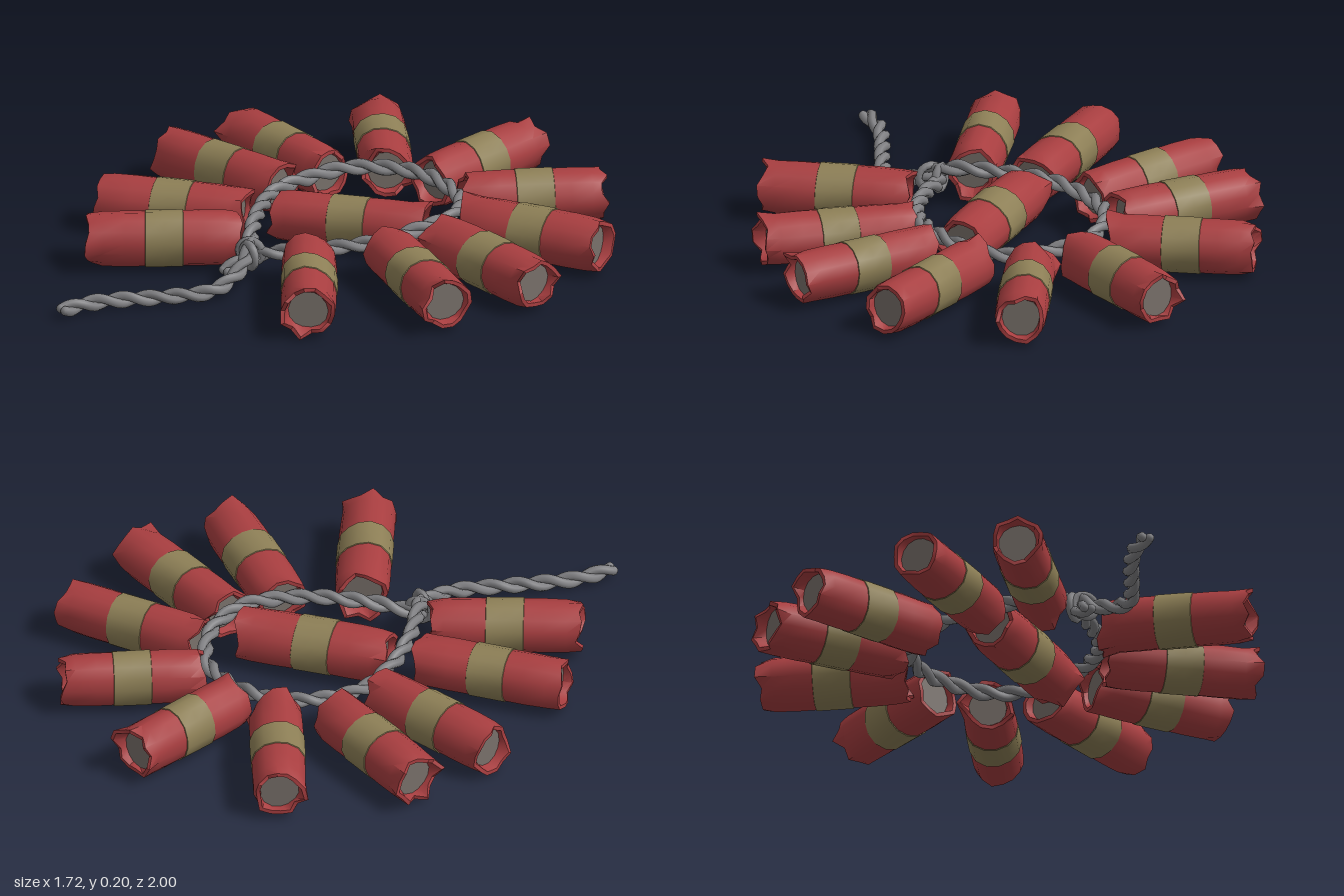
import * as THREE from 'three';
import { toCreasedNormals } from 'three/addons/utils/BufferGeometryUtils.js';

const material = (name, color, side = THREE.FrontSide) => {
  const m = new THREE.MeshStandardMaterial({ color, side });
  m.name = name;
  return m;
};

const SIDES = 14;
const RADIUS = 0.089;

// Repeatable noise from 0 to 1
const hash = (a, b, c) => {
  const v = Math.sin(a * 12.99 + b * 78.23 + c * 37.72) * 43758.55;
  return v - Math.floor(v);
};

// Gentle out-of-round dents shared by the paper and the band
const dent = (a, y, seed) =>
  1 + 0.03 * Math.sin(2 * a + seed * 1.7) + 0.025 * Math.sin(3 * a + y * 7 + seed * 2.3);

// Lathe whose rings are dented; rim rings are also torn and flared
function crumpledTube(profile, seed, tornRings = []) {
  const geo = new THREE.LatheGeometry(profile.map(([r, y]) => new THREE.Vector2(r, y)), SIDES);
  const pos = geo.attributes.position;
  for (let k = 0; k < pos.count; k++) {
    const i = Math.floor(k / profile.length) % SIDES;
    const j = k % profile.length;
    const [r, y] = profile[j];
    const a = (i / SIDES) * Math.PI * 2;
    let radius = r * dent(a, y, seed);
    let height = y;
    if (tornRings.includes(j)) {
      const end = Math.sign(y);
      const tear = hash(i, end, seed);
      height += end * (tear - 0.5) * 0.03;
      radius += (hash(i, end + 5, seed) - 0.55) * 0.014 + (tear > 0.88 ? 0.014 : 0);
    }
    pos.setXYZ(k, Math.sin(a) * radius, height, Math.cos(a) * radius);
  }
  return toCreasedNormals(geo, 0.7);
}

// Paper tube with a central band and recessed ends, lying between two points (x, z)
function makeCracker([x1, z1, x2, z2], seed, mats) {
  const g = new THREE.Group();
  g.name = 'cracker';
  const dir = new THREE.Vector3(x2 - x1, 0, z2 - z1);
  const h = dir.length() / 2;
  const R = RADIUS;
  const add = (name, geo, mat) => {
    const mesh = new THREE.Mesh(geo, mat);
    mesh.name = name;
    g.add(mesh);
    return mesh;
  };

  const half = [[R, 0.06], [R * 1.01, h * 0.5], [R * 0.99, h * 0.8], [R * 0.93, h - 0.005], [R * 0.78, h - 0.005], [R * 0.72, h - 0.035]];
  const profile = [...half.map(([r, y]) => [r, -y]).reverse(), ...half];
  add('paperTube', crumpledTube(profile, seed, [1, 2, 9, 10]), mats.paper);

  const b = R * 1.035;
  add('band', crumpledTube([[R * 0.98, -0.064], [b, -0.062], [b, 0], [b, 0.062], [R * 0.98, 0.064]], seed), mats.band);

  for (const s of [-1, 1]) {
    const cap = add('endCap', new THREE.CircleGeometry(R * 0.79, SIDES), mats.cap);
    cap.position.y = s * (h - 0.033);
    cap.rotation.x = -s * Math.PI / 2;
  }

  g.position.set((x1 + x2) / 2, 0.104, (z1 + z2) / 2);
  g.quaternion.setFromUnitVectors(new THREE.Vector3(0, 1, 0), dir.normalize());
  return g;
}

// One strand winding around a centre path
class Strand extends THREE.Curve {
  constructor(path, phase, turns, offset) {
    super();
    Object.assign(this, { path, phase, turns, offset });
  }
  getPoint(t, target = new THREE.Vector3()) {
    const p = this.path.getPointAt(t);
    const tan = this.path.getTangentAt(t);
    const side = new THREE.Vector3(0, 1, 0).cross(tan).normalize();
    const up = tan.clone().cross(side);
    const a = this.phase + t * this.turns * Math.PI * 2;
    return target.copy(p)
      .addScaledVector(side, Math.cos(a) * this.offset)
      .addScaledVector(up, Math.sin(a) * this.offset);
  }
}

export function createModel() {
  const model = new THREE.Group();
  model.name = 'crackerString';
  const mats = {
    paper: material('redPaper', 0xa83e40, THREE.DoubleSide),
    band: material('oliveBand', 0x8d7f56, THREE.DoubleSide),
    cap: material('greyPowder', 0x78706a),
    rope: material('greyRope', 0x808083),
  };

  // Inner end to outer end of each cracker: x, z, x, z
  const crackers = [
    [-0.03, -0.52, -0.02, -0.99],
    [0.15, -0.49, 0.46, -0.85],
    [0.28, -0.36, 0.77, -0.51],
    [0.34, -0.18, 0.84, -0.12],
    [0.27, 0.0, 0.74, 0.21],
    [0.11, 0.21, 0.45, 0.58],
    [0.24, -0.22, -0.22, 0.02],
    [-0.28, 0.08, -0.74, 0.32],
    [-0.16, 0.25, -0.53, 0.6],
    [-0.34, -0.15, -0.85, -0.13],
    [-0.31, -0.35, -0.8, -0.43],
    [-0.18, -0.48, -0.54, -0.82],
  ];
  crackers.forEach((c, i) => model.add(makeCracker(c, i + 1, mats)));

  // Rope: short stub, loop around the inner ends, crossing, then the loose tail
  const path = new THREE.CatmullRomCurve3([
    [-0.09, 0.05, 0.4], [-0.07, 0.08, 0.31], [0.08, 0.11, 0.19], [0.23, 0.13, 0.03],
    [0.3, 0.15, -0.16], [0.28, 0.14, -0.32], [0.16, 0.13, -0.46], [-0.03, 0.14, -0.5],
    [-0.16, 0.14, -0.46], [-0.26, 0.14, -0.36], [-0.31, 0.13, -0.21], [-0.29, 0.14, -0.05],
    [-0.2, 0.14, 0.13], [-0.09, 0.13, 0.28], [-0.03, 0.08, 0.38], [-0.02, 0.04, 0.53],
    [-0.1, 0.035, 0.66], [-0.19, 0.035, 0.78], [-0.25, 0.035, 0.88], [-0.28, 0.035, 0.985],
  ].map((p) => new THREE.Vector3(...p)));
  const rope = new THREE.Group();
  rope.name = 'rope';
  for (const phase of [0, Math.PI]) {
    const curve = new Strand(path, phase, 17, 0.013);
    const strand = new THREE.Mesh(new THREE.TubeGeometry(curve, 260, 0.016, 7), mats.rope);
    strand.name = 'ropeStrand';
    rope.add(strand);
    for (const t of [0, 1]) {
      const tip = new THREE.Mesh(new THREE.SphereGeometry(0.016, 8, 6), mats.rope);
      tip.name = 'strandTip';
      tip.position.copy(curve.getPoint(t));
      rope.add(tip);
    }
  }

  // Wraps tying the crossing together
  [[-0.07, 0.3, 0.5], [-0.05, 0.33, -0.3]].forEach(([x, z, turn]) => {
    const wrap = new THREE.Mesh(new THREE.TorusGeometry(0.04, 0.014, 6, 16), mats.rope);
    wrap.name = 'knotWrap';
    wrap.position.set(x, 0.095, z);
    wrap.rotation.y = turn;
    rope.add(wrap);
  });
  model.add(rope);
  return model;
}
